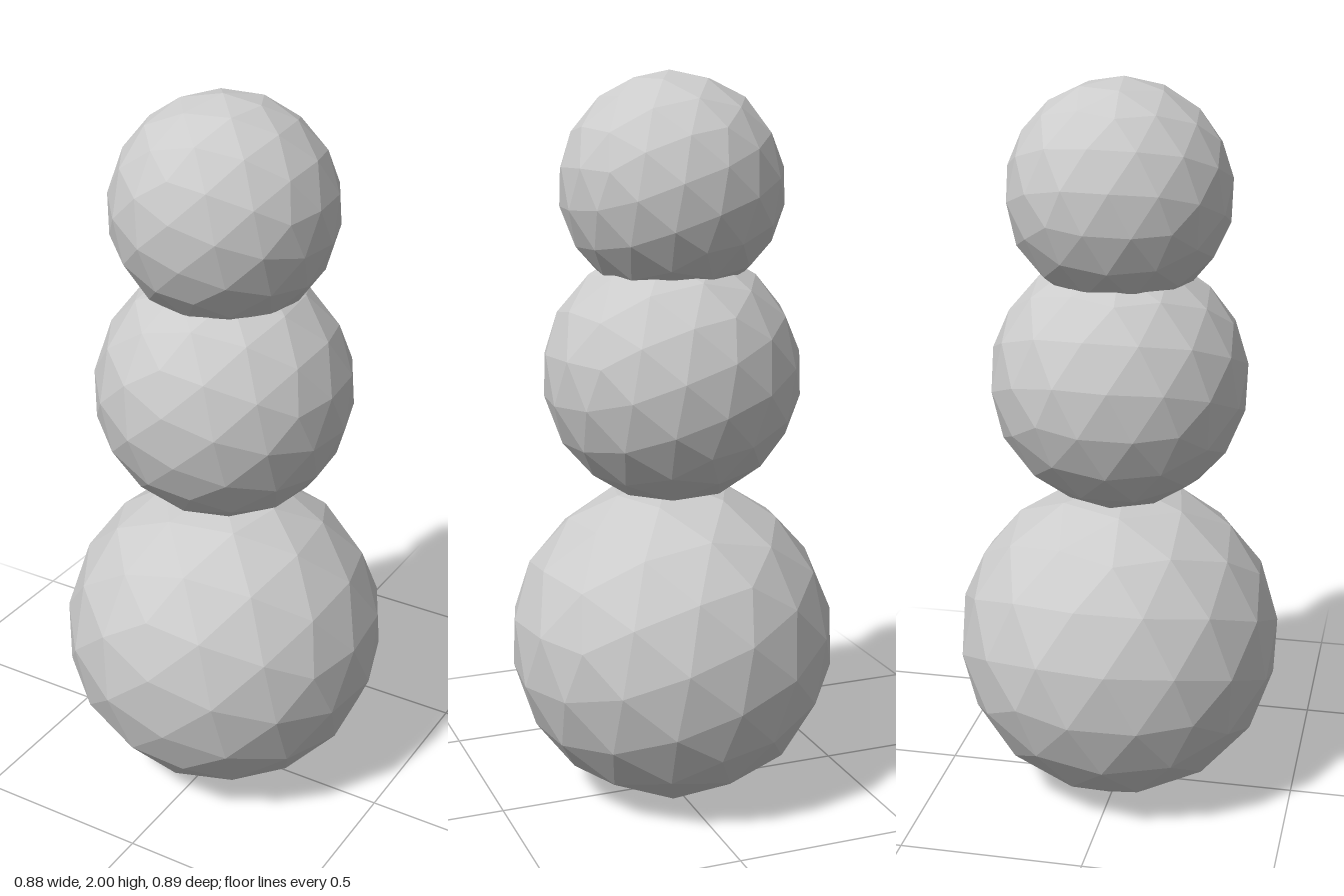
import * as THREE from 'three';

// Three stacked faceted balls, largest at the base
const BALLS = [
  { name: 'baseBall', radius: 0.45, y: 0.45 },
  { name: 'bodyBall', radius: 0.35, y: 1.2 },
  { name: 'headBall', radius: 0.3, y: 1.7 },
];

export function createModel() {
  const group = new THREE.Group();
  group.name = 'stackedBalls';
  const material = new THREE.MeshStandardMaterial({ color: 0xcccccc, flatShading: true });

  // Unit ball, tilted a little so its facets look irregular and a corner points up
  const ball = new THREE.IcosahedronGeometry(1, 2);
  ball.rotateZ(0.2).rotateX(0.04).rotateY(0.1);

  for (const { name, radius, y } of BALLS) {
    const mesh = new THREE.Mesh(ball, material);
    mesh.name = name;
    mesh.scale.setScalar(radius);
    mesh.position.y = y;
    group.add(mesh);
  }
  return group;
}
